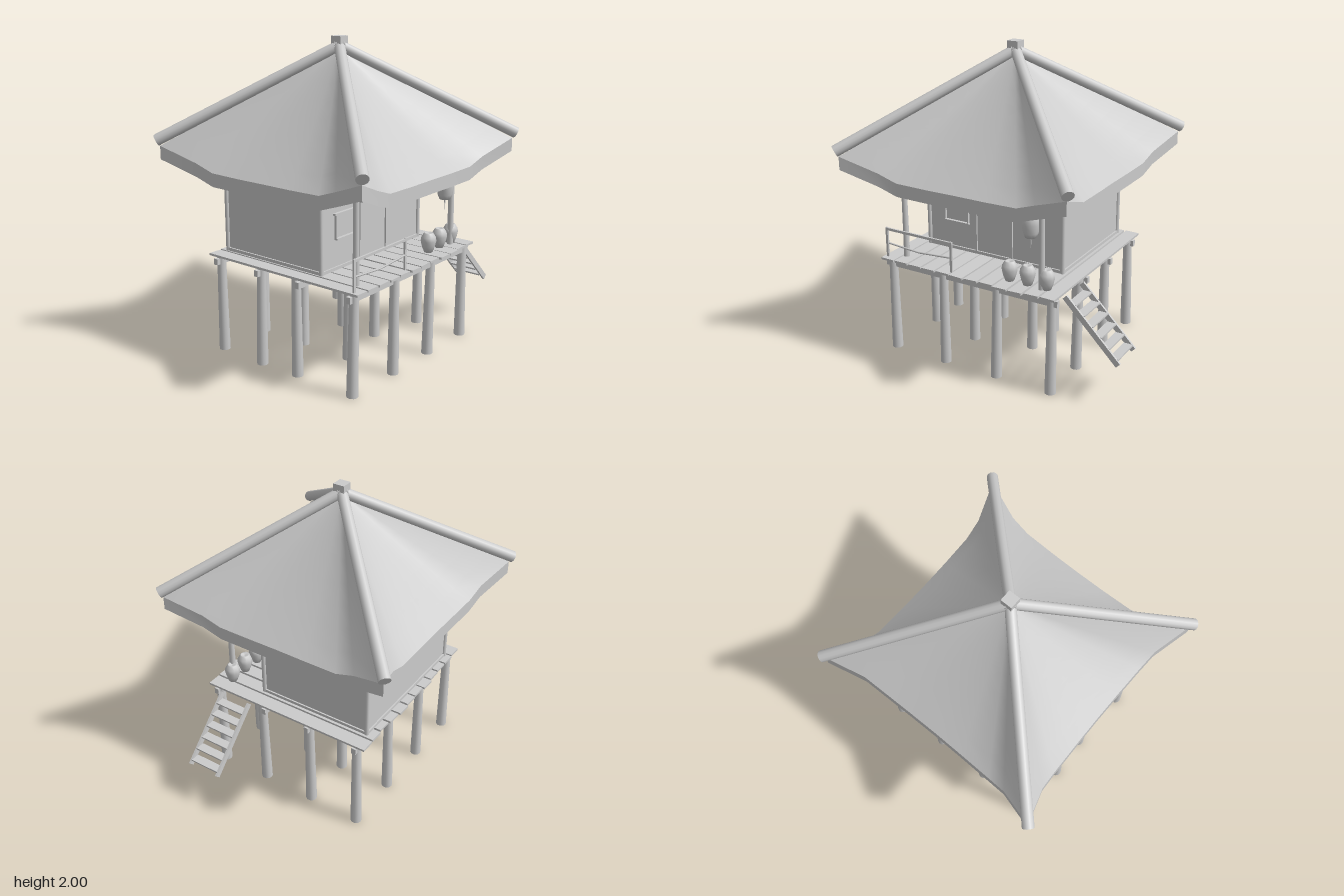
import * as THREE from 'three';

const grey = new THREE.MeshStandardMaterial({ color: 0xcccccc });
const thin = new THREE.MeshStandardMaterial({ color: 0xcccccc, side: THREE.DoubleSide });
const V = (x, y, z) => new THREE.Vector3(x, y, z);
const CX = -0.09; // centre line of the hut

// small repeatable wobble for hand-built timber
let seed = 7;
function wobble(amount) {
  seed = (seed * 16807) % 2147483647;
  return (seed / 2147483647 - 0.5) * 2 * amount;
}

function add(parent, name, geometry, x = 0, y = 0, z = 0, material = grey) {
  const mesh = new THREE.Mesh(geometry, material);
  mesh.name = name;
  mesh.position.set(x, y, z);
  parent.add(mesh);
  return mesh;
}

function box(parent, name, w, h, d, x, y, z) {
  return add(parent, name, new THREE.BoxGeometry(w, h, d), x, y, z);
}

// tapered round timber between two points
function pole(parent, name, a, b, ra, rb = ra, sides = 10) {
  const dir = b.clone().sub(a);
  const mesh = add(parent, name, new THREE.CylinderGeometry(rb, ra, dir.length(), sides));
  mesh.position.copy(a).lerp(b, 0.5);
  mesh.quaternion.setFromUnitVectors(V(0, 1, 0), dir.normalize());
  return mesh;
}

function group(parent, name) {
  const g = new THREE.Group();
  g.name = name;
  parent.add(g);
  return g;
}

function lathe(parent, name, profile, x, y, z) {
  const pts = profile.map(([r, h]) => new THREE.Vector2(r, h));
  return add(parent, name, new THREE.LatheGeometry(pts, 10), x, y, z, thin);
}

// grid surface from rows of points
function surface(rows) {
  const n = rows[0].length, index = [];
  for (let i = 0; i < rows.length - 1; i++)
    for (let j = 0; j < n - 1; j++) {
      const a = i * n + j, b = a + n;
      index.push(a, b, b + 1, a, b + 1, a + 1);
    }
  const geo = new THREE.BufferGeometry().setFromPoints(rows.flat());
  geo.setIndex(index);
  geo.computeVertexNormals();
  return geo;
}

function buildRoof(root) {
  const roof = group(root, 'roof');
  roof.position.x = CX;
  // eave line of one side: [x, y, z], lifted and flared at the corners
  const eave = [[-0.785, 1.34, 0.785], [-0.55, 1.25, 0.71], [-0.42, 1.205, 0.7], [-0.2, 1.2, 0.695], [0, 1.2, 0.693],
    [0.2, 1.2, 0.695], [0.42, 1.205, 0.7], [0.55, 1.25, 0.71], [0.785, 1.34, 0.785]].map(p => V(...p));
  const drop = 0.085, steps = 8;
  const sheet = (top, dy) => Array.from({ length: steps + 1 }, (_, i) => {
    const u = i / steps;
    return eave.map(e => {
      const p = V(0, top, 0).lerp(V(e.x, e.y - dy, e.z), u);
      p.y -= 0.1 * u * (1 - u) * (1 - (e.x / 0.785) ** 2);
      return p;
    });
  });
  const under = sheet(1.86, drop).map(row => row.reverse());
  for (let k = 0; k < 4; k++) {
    const side = group(roof, 'roofSide');
    side.rotation.y = k * Math.PI / 2;
    add(side, 'thatch', surface(sheet(1.93, 0)), 0, 0, 0, thin);
    add(side, 'thatchUnderside', surface(under), 0, 0, 0, thin);
    add(side, 'eaveBand', surface([eave, eave.map(e => V(e.x, e.y - drop, e.z))]), 0, 0, 0, thin);
    pole(side, 'hipPole', V(0.8, 1.375, 0.8), V(-0.02, 1.955, -0.02), 0.037, 0.034, 12);
  }
  box(roof, 'roofCap', 0.075, 0.05, 0.075, 0, 1.975, 0);
}

function buildDeck(root) {
  const deck = group(root, 'deck');
  // floor planks with narrow gaps, running front to back
  const count = 12, pitch = 1.26 / count;
  for (let i = 0; i < count; i++) {
    const plank = box(deck, 'plank', pitch - 0.012, 0.014, 1.2 + wobble(0.015),
      -0.72 + pitch * (i + 0.5), 0.645, 0.03 + wobble(0.01));
    plank.rotation.z = wobble(0.04);
  }
  // stilts and the beams they carry
  const zs = [0.565, 0.18, -0.15, -0.5];
  zs.forEach((z, r) => {
    box(deck, 'floorBeam', 1.25, 0.04, 0.03, CX, 0.605, z);
    [-0.67, -0.28, 0.11, 0.485].forEach((x, c) => {
      const zz = r === 1 ? z + (c % 2 ? 0.04 : -0.045) : z;
      pole(deck, 'stilt', V(x + wobble(0.012), 0, zz + wobble(0.005)),
        V(x + 0.005, 0.638, zz + wobble(0.006)), 0.036, 0.028, 10);
    });
  });
}

function buildHouse(root) {
  const house = group(root, 'house');
  const x0 = -0.59, x1 = 0.4, z0 = -0.51, z1 = 0.265;
  box(house, 'walls', x1 - x0, 0.53, z1 - z0, (x0 + x1) / 2, 0.915, (z0 + z1) / 2);
  // corner and porch posts
  for (const x of [x0, x1]) {
    for (const z of [z0, z1]) pole(house, 'cornerPost', V(x, 0.65, z), V(x, 1.2, z), 0.015);
    pole(house, 'porchPost', V(x, 0.65, 0.525), V(x, 1.23, 0.525), 0.02, 0.018);
    box(house, 'sideSill', 0.02, 0.02, z1 - z0, x, 0.662, (z0 + z1) / 2);
    pole(house, 'sideBeam', V(x, 1.165, -0.58), V(x, 1.165, 0.58), 0.016);
  }
  for (const z of [z0, z1, 0.525]) pole(house, 'crossBeam', V(-0.66, 1.17, z), V(0.47, 1.17, z), 0.016);
  for (const z of [z0, z1]) box(house, 'sill', x1 - x0, 0.02, 0.02, (x0 + x1) / 2, 0.662, z);
  // door jambs and window frame on the porch wall
  for (const x of [-0.225, 0.04]) box(house, 'doorJamb', 0.012, 0.52, 0.02, x, 0.91, z1);
  box(house, 'windowHead', 0.21, 0.012, 0.03, -0.375, 1.0, z1 + 0.005);
  box(house, 'windowSill', 0.19, 0.01, 0.03, -0.37, 0.845, z1 + 0.005);
  for (const x of [-0.46, -0.285]) box(house, 'windowJamb', 0.01, 0.16, 0.02, x, 0.925, z1 + 0.005);
}

function buildPorchThings(root) {
  // railing on the front left part of the porch
  const rail = group(root, 'railing');
  const z = 0.59;
  for (const x of [-0.69, -0.2]) box(rail, 'railPost', 0.016, 0.2, 0.012, x, 0.75, z);
  box(rail, 'topRail', 0.5, 0.016, 0.012, -0.445, 0.84, z);
  pole(rail, 'middleRail', V(-0.69, 0.745, z), V(-0.445, 0.728, z), 0.006, 0.006, 6);
  pole(rail, 'middleRail', V(-0.445, 0.728, z), V(-0.2, 0.745, z), 0.006, 0.006, 6);

  // jars by the steps
  const jar = [[0, 0], [0.027, 0], [0.042, 0.04], [0.05, 0.075], [0.046, 0.1], [0.03, 0.126], [0.024, 0.128], [0, 0.118]];
  for (const x of [0.17, 0.295, 0.425]) lathe(root, 'jar', jar, x, 0.652, 0.51);

  // hanging lantern
  const lantern = group(root, 'lantern');
  lathe(lantern, 'lanternBody', [[0, 0], [0.035, 0], [0.047, 0.03], [0.057, 0.085], [0.053, 0.125], [0.036, 0.16], [0, 0.16]], 0.325, 0.97, 0.525);
  pole(lantern, 'lanternCord', V(0.325, 1.12, 0.525), V(0.325, 1.18, 0.525), 0.005, 0.005, 6);
  pole(lantern, 'tassel', V(0.325, 0.9, 0.525), V(0.325, 0.975, 0.525), 0.002, 0.005, 6);
}

function buildStairs(root) {
  const stairs = group(root, 'stairs');
  const top = V(0.545, 0.63, 0), foot = V(0.9, 0.275, 0);
  for (const z of [0.287, 0.503]) {
    const side = box(stairs, 'stringer', top.distanceTo(foot), 0.036, 0.014, (top.x + foot.x) / 2, (top.y + foot.y) / 2, z);
    side.rotation.z = -Math.PI / 4;
  }
  for (let i = 0; i < 6; i++)
    box(stairs, 'tread', 0.06, 0.01, 0.21, 0.587 + i * 0.056, 0.586 - i * 0.056, 0.395);
}

export function createModel() {
  const root = new THREE.Group();
  root.name = 'stiltHut';
  buildDeck(root);
  buildHouse(root);
  buildRoof(root);
  buildPorchThings(root);
  buildStairs(root);
  return root;
}
